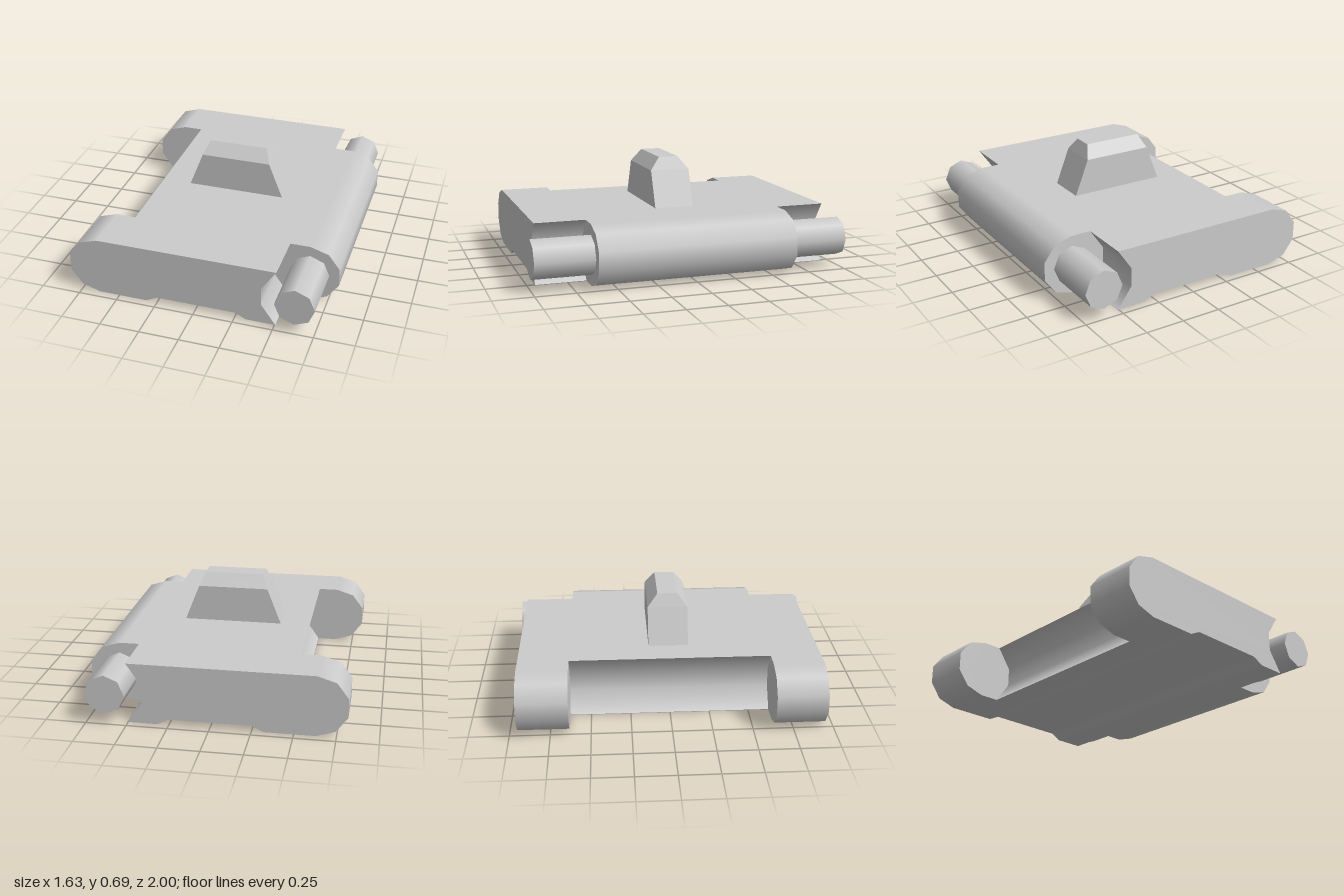
import * as THREE from 'three';

const HINGE_X = 0.63, MID_Y = 0.19, HALF_MID = 0.632, HALF_BODY = 0.95;
const material = new THREE.MeshStandardMaterial({ color: 0xcccccc });

// Side outline of a slab: rounded knuckle at -x, hollow socket at +x, shallow channel below
function slabShape() {
  const pts = [];
  for (let i = 0; i < 6; i++) {
    const a = THREE.MathUtils.degToRad(90 + 36 * i);
    pts.push([-HINGE_X + 0.195 * Math.cos(a), MID_Y + (MID_Y / Math.sin(Math.PI / 2)) * Math.sin(a)]);
  }
  pts[5] = [-HINGE_X, 0];
  pts.push([-0.32, 0], [-0.25, 0.035], [0.25, 0.035], [0.32, 0]);
  pts.push([0.505, 0], [0.415, 0.13], [0.415, 0.25], [0.505, 0.38]);
  return new THREE.Shape(pts.map(([x, y]) => new THREE.Vector2(x, y)));
}

// Give the walls of the round knuckle and the hollow socket radial (smooth) normals
function smoothHinges(geometry) {
  const p = geometry.attributes.position, n = geometry.attributes.normal;
  for (let i = 0; i < p.count; i += 3) {
    if (Math.abs(n.getZ(i)) > 0.5) continue;
    const cx = Math.sign(p.getX(i)) * HINGE_X;
    const radial = [0, 1, 2].map(k => new THREE.Vector2(p.getX(i + k) - cx, p.getY(i + k) - MID_Y));
    if (radial.some(r => r.length() > 0.24)) continue;
    const facing = new THREE.Vector2(n.getX(i), n.getY(i));
    const sign = Math.sign(facing.dot(radial[0]));
    radial.forEach((r, k) => {
      r.normalize().multiplyScalar(sign);
      n.setXYZ(i + k, r.x, r.y, 0);
    });
  }
  return geometry;
}

function slab(name, z0, z1) {
  const geometry = new THREE.ExtrudeGeometry(slabShape(), { depth: z1 - z0, bevelEnabled: false });
  geometry.translate(0, 0, z0);
  const mesh = new THREE.Mesh(smoothHinges(geometry), material);
  mesh.name = name;
  return mesh;
}

// Tapered guide tooth with chamfered long edges
function guideTooth() {
  const levels = [[0.38, 0.315, 0.127], [0.61, 0.225, 0.127], [0.69, 0.19, 0.063]];
  const box = new THREE.BoxGeometry(2, 2, 2, 1, 2, 1);
  const p = box.attributes.position;
  for (let i = 0; i < p.count; i++) {
    const [y, hx, hz] = levels[Math.round(p.getY(i)) + 1];
    p.setXYZ(i, p.getX(i) * hx, y, p.getZ(i) * hz);
  }
  const geometry = box.toNonIndexed();
  geometry.computeVertexNormals();
  const mesh = new THREE.Mesh(geometry, material);
  mesh.name = 'guideTooth';
  return mesh;
}

export function createModel() {
  const model = new THREE.Group();
  model.name = 'trackLink';

  // Outer slabs carry the two ears; the middle slab is turned round to carry the pin knuckle
  model.add(slab('frontEarSlab', HALF_MID, HALF_BODY));
  model.add(slab('backEarSlab', -HALF_BODY, -HALF_MID));
  const middle = slab('middleSlab', -HALF_MID, HALF_MID);
  middle.rotation.y = Math.PI;
  model.add(middle);

  // Hinge pins sticking out of both ends of the knuckle
  for (const side of [1, -1]) {
    const length = 1 - HALF_MID;
    const pin = new THREE.Mesh(new THREE.CylinderGeometry(0.123, 0.123, length, 8), material);
    pin.name = side > 0 ? 'frontPin' : 'backPin';
    pin.rotation.x = Math.PI / 2;
    pin.position.set(HINGE_X, MID_Y + 0.002, side * (HALF_MID + length / 2));
    model.add(pin);
  }

  model.add(guideTooth());
  return model;
}
